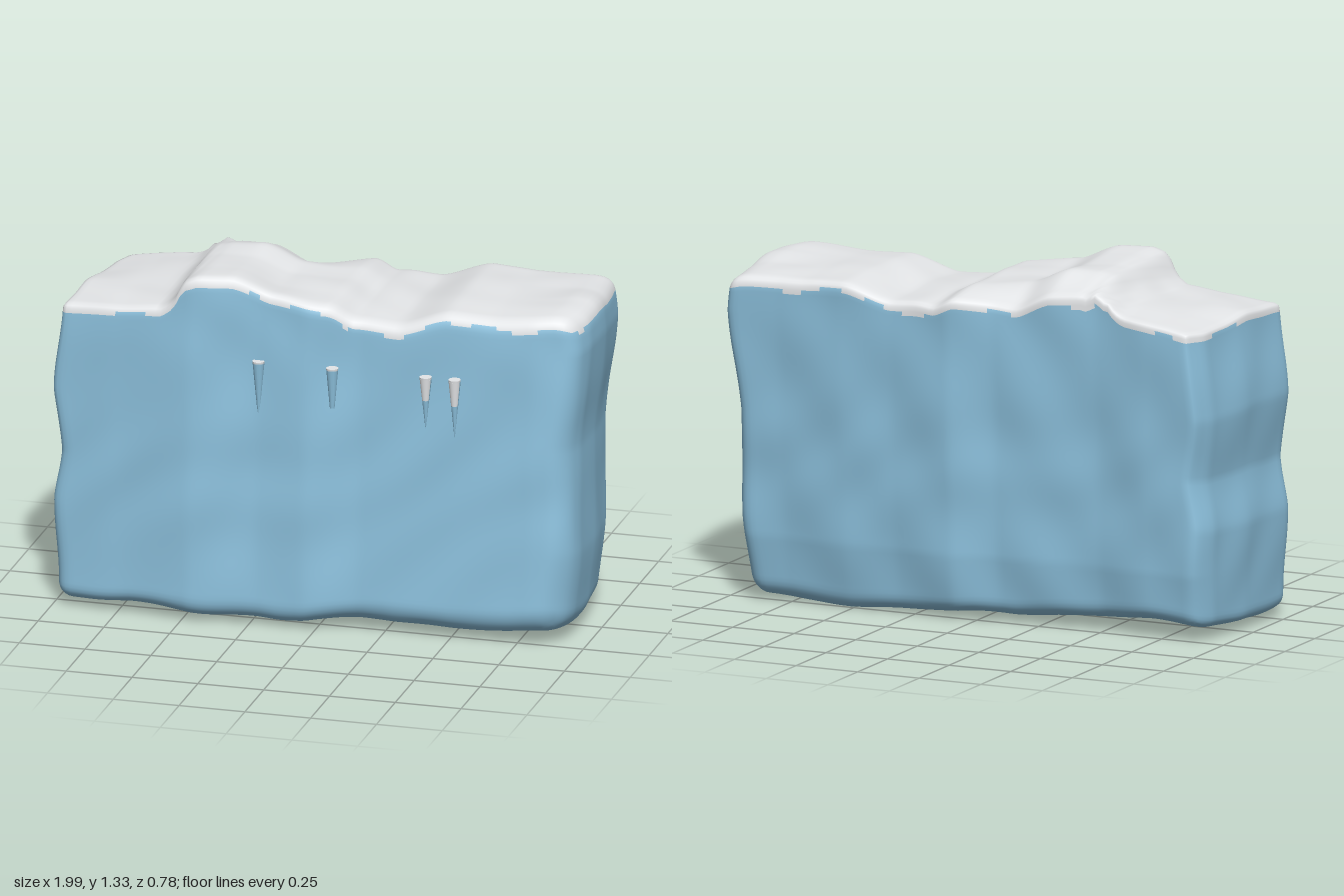
import * as THREE from 'three';
import { mergeVertices } from 'three/addons/utils/BufferGeometryUtils.js';

const snow = new THREE.MeshStandardMaterial({ color: 0xeceef0 });
snow.name = 'snow white';
const ice = new THREE.MeshStandardMaterial({ color: 0x8cc0dc });
ice.name = 'ice blue';

const { lerp, clamp } = THREE.MathUtils;

// Smooth interpolation through [position, value] points
function curve(points) {
  return (x) => {
    if (x <= points[0][0]) return points[0][1];
    for (let i = 1; i < points.length; i++) {
      const [x0, a] = points[i - 1], [x1, b] = points[i];
      if (x <= x1) {
        const t = (x - x0) / (x1 - x0);
        return lerp(a, b, 0.5 * t + 0.5 * t * t * (3 - 2 * t));
      }
    }
    return points[points.length - 1][1];
  };
}

// Outlines of the wall along its length
const top = curve([[-0.97, 1.18], [-0.75, 1.195], [-0.58, 1.212], [-0.54, 1.24], [-0.49, 1.325], [-0.44, 1.342],
  [-0.32, 1.342], [-0.17, 1.285], [0.04, 1.255], [0.13, 1.205], [0.3, 1.195], [0.48, 1.25],
  [0.65, 1.245], [0.88, 1.262], [0.98, 1.245]]);
const bottom = curve([[-0.95, 0.03], [-0.7, 0.045], [-0.4, 0.03], [-0.15, 0.02], [0, 0.03],
  [0.3, 0.015], [0.5, 0.005], [0.7, 0.015], [0.95, 0.03]]);
const front = curve([[-0.97, 0.325], [-0.75, 0.342], [-0.47, 0.37], [-0.22, 0.324], [-0.04, 0.33],
  [0.16, 0.285], [0.45, 0.28], [0.8, 0.275], [0.97, 0.25]]);
const back = curve([[-0.95, -0.31], [-0.7, -0.3], [-0.5, -0.275], [-0.1, -0.3], [0.07, -0.35],
  [0.3, -0.335], [0.5, -0.35], [0.75, -0.34], [0.95, -0.36]]);
// Ends of the wall over their height and depth
const leftByY = curve([[0.05, 0], [0.4, -0.015], [0.6, 0.015], [0.85, -0.015], [1.18, 0.02]]);
const rightByY = curve([[0.05, -0.03], [0.3, -0.01], [0.7, -0.02], [1.08, 0.015], [1.22, 0]]);
const leftByZ = curve([[-1, -0.9], [-0.7, -0.935], [0, -0.965], [1, -0.985]]);
const rightByZ = curve([[-1, 0.94], [0, 0.975], [0.6, 0.975], [1, 0.95]]);
// The crown sinks towards the back at the hump and at both ends
const humpShare = curve([[-0.62, 0], [-0.55, -0.3], [-0.46, 0.8], [-0.2, 1], [0.05, 0.3], [0.2, 0]]);
const humpSlope = curve([[-1, -0.085], [-0.4, -0.025], [0, -0.035], [0.5, -0.02], [1, 0]]);
const endShare = curve([[-0.95, 0.8], [-0.7, 0], [0.6, 0], [0.95, 1]]);
const endSlope = curve([[-1, -0.025], [-0.3, -0.025], [0.2, 0], [1, 0]]);
// The lower edge lifts at the front right and at the back left
const frontLift = curve([[-0.05, 0], [0.25, 0.045]]);
const backLift = curve([[-0.9, 0.035], [-0.4, 0.02], [0.1, 0], [0.9, -0.015]]);

// Soft lumps
const lumps = (a, b, s) => 0.5 * Math.sin(9 * a + 3 * Math.sin(4 * b + s) + s)
  * Math.cos(10 * b + 2 * Math.sin(5 * a + s)) + 0.35 * Math.sin(17 * a - 11 * b + s * 2);

function wallGeometry() {
  const half = new THREE.Vector3(1, 0.6, 0.33);
  const box = new THREE.BoxGeometry(2, 1.2, 0.66, 100, 70, 32);
  box.deleteAttribute('uv');
  box.deleteAttribute('normal');
  const geo = mergeVertices(box);
  const pos = geo.attributes.position;
  const p = new THREE.Vector3(), c = new THREE.Vector3();
  const depth = [];
  for (let i = 0; i < pos.count; i++) {
    p.fromBufferAttribute(pos, i);
    // Round the corners, tighter at the top left
    const r = 0.05 - 0.03 * p.y + 0.015 * p.x + 0.02 * p.z;
    c.set(...['x', 'y', 'z'].map((k) => clamp(p[k], r - half[k], half[k] - r)));
    p.sub(c).setLength(Math.min(r, p.length())).add(c).divide(half);
    // Fit to the outlines
    const y0 = (p.y + 1) * 0.6;
    let x = lerp(leftByZ(p.z) + leftByY(y0), rightByZ(p.z) + rightByY(y0), (p.x + 1) / 2);
    const crown = top(x) - 0.012 * p.z * p.z + humpShare(x) * humpSlope(p.z)
      + endShare(x) * endSlope(p.z) + 0.008 * lumps(x, p.z * 0.4, 2) * (1 - p.z * p.z);
    const lift = p.z > 0 ? frontLift(x) : backLift(x);
    const floor = bottom(x) + lift * p.z * p.z + 0.007 * lumps(x, p.z * 0.4, 5);
    const y = lerp(floor, crown, (p.y + 1) / 2);
    let z = lerp(back(x), front(x), (p.z + 1) / 2) + (0.045 + 0.03 * x) * (0.65 - y);
    // The back draws in near the ground
    z += 0.1 * Math.max(0, 0.25 - y) * Math.max(0, -p.z);
    z += 0.008 * p.z * lumps(x, y, p.z > 0 ? 1 : 4);
    x += 0.004 * p.x * lumps(p.z * 0.4, y, 3);
    pos.setXYZ(i, x, Math.max(0, y), z);
    depth.push(crown - y + 0.009 * Math.sin(11 * x + 9 * z) + 0.006 * Math.sin(27 * x - 14 * z));
  }
  // Snow covers the quads close below the crown
  const caps = [], body = [];
  const index = geo.index.array;
  for (let i = 0; i < index.length; i += 6) {
    const quad = Array.from(index.slice(i, i + 6));
    const d = quad.reduce((sum, v) => sum + depth[v], 0) / 6;
    (d < 0.033 ? caps : body).push(...quad);
  }
  geo.setIndex(caps.concat(body));
  geo.clearGroups();
  geo.addGroup(0, caps.length, 0);
  geo.addGroup(caps.length, body.length, 1);
  geo.computeVertexNormals();
  return geo;
}

// Hanging icicle with a snowy rim and, on some, a snowy upper front
function icicle(x, length, tip, snowy) {
  const group = new THREE.Group();
  group.name = 'icicle';
  const radiusAt = (d) => lerp(0.023, tip, d / length);
  const add = (name, material, from, to, start = 0, sweep = Math.PI * 2) => {
    const geo = new THREE.CylinderGeometry(radiusAt(from), radiusAt(to), to - from, 12, 1, false, start, sweep);
    const mesh = new THREE.Mesh(geo, material);
    mesh.name = name;
    mesh.position.y = -(from + to) / 2;
    group.add(mesh);
  };
  const rim = 0.007, upper = snowy ? length * 0.45 : rim;
  add('icicleRim', snow, 0, rim);
  if (snowy) {
    add('icicleSnow', snow, rim, upper, -Math.PI / 2, Math.PI * 0.9);
    add('icicleBack', ice, rim, upper, Math.PI * 0.4, Math.PI * 1.1);
  }
  add('icicleTip', ice, upper, length);
  group.position.set(x, 1.022, 0.316);
  return group;
}

export function createModel() {
  const model = new THREE.Group();
  model.name = 'snowyIceWall';
  const wall = new THREE.Mesh(wallGeometry(), [snow, ice]);
  wall.name = 'wall';
  model.add(wall);
  for (const [x, length, tip, snowy] of [[-0.65, 0.12, 0.001, false], [-0.215, 0.23, 0.001, false],
    [0.065, 0.155, 0.009, false], [0.42, 0.2, 0.001, true], [0.53, 0.225, 0.001, true]]) {
    model.add(icicle(x, length, tip, snowy));
  }
  return model;
}
